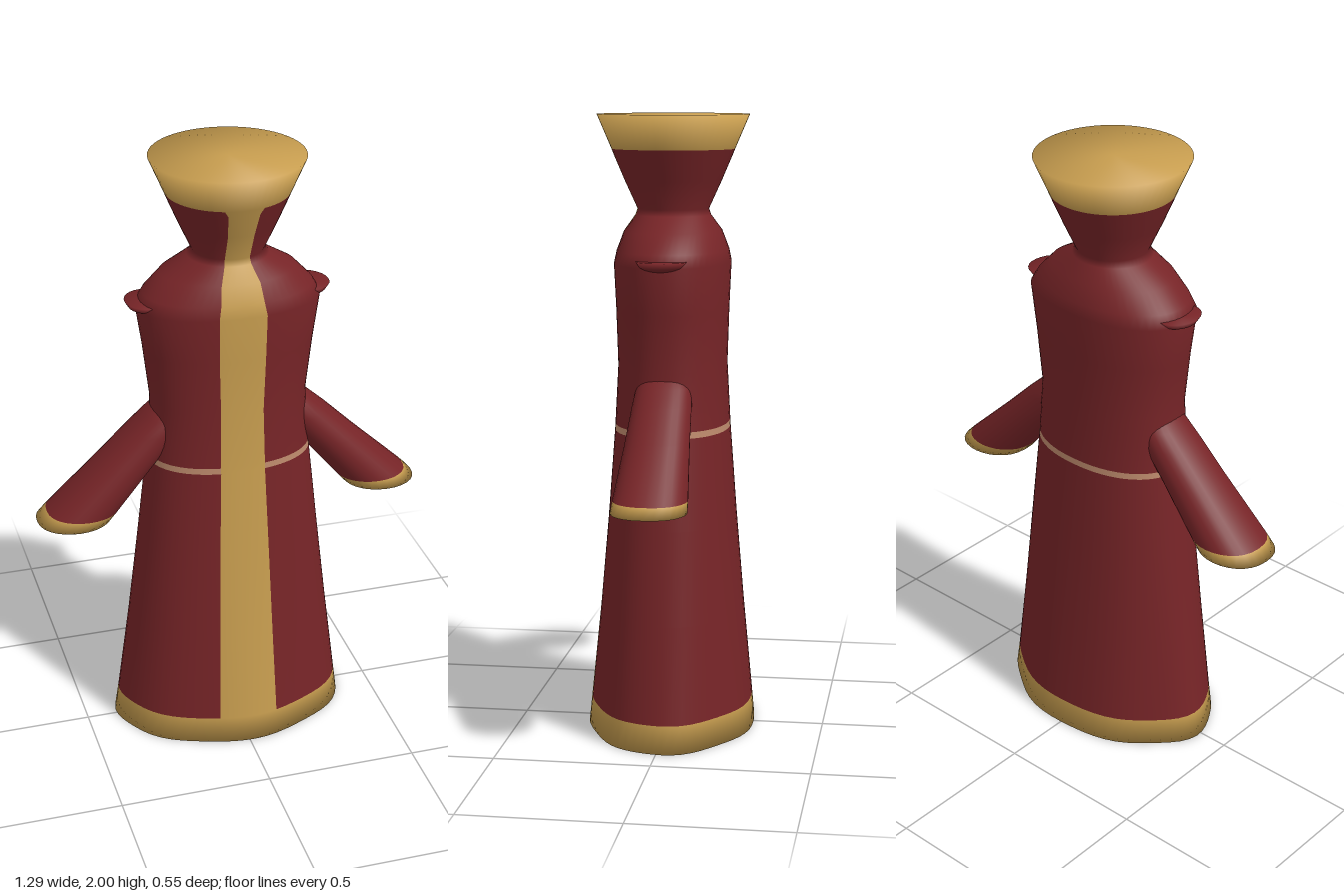
import * as THREE from 'three';

const red = new THREE.MeshStandardMaterial({ color: 0x762427 });
red.name = 'redCloth';
const gold = new THREE.MeshStandardMaterial({ color: 0xc79d4f });
gold.name = 'goldTrim';
const tan = new THREE.MeshStandardMaterial({ color: 0xbd8a6c });
tan.name = 'tanWaistLine';
const palette = [red, gold, tan];

// Closed smooth skin through rings listed from bottom to top.
// ring(i, j) gives a point; paint(i, j) gives a palette index (i = -1 bottom cap, rows - 1 top cap).
function loft(name, rows, cols, ring, paint) {
  const pos = [];
  const lists = palette.map(() => []);
  const centre = [new THREE.Vector3(), new THREE.Vector3()];
  for (let i = 0; i < rows; i++) {
    for (let j = 0; j < cols; j++) {
      const p = ring(i, j);
      pos.push(p.x, p.y, p.z);
      if (i === 0) centre[0].addScaledVector(p, 1 / cols);
      if (i === rows - 1) centre[1].addScaledVector(p, 1 / cols);
    }
  }
  centre.forEach((c) => pos.push(c.x, c.y, c.z));
  const last = (rows - 1) * cols;
  for (let j = 0; j < cols; j++) {
    const k = (j + 1) % cols;
    for (let i = 0; i < rows - 1; i++) {
      const a = i * cols + j, b = i * cols + k;
      lists[paint(i, j)].push(a, b, b + cols, a, b + cols, a + cols);
    }
    lists[paint(-1, j)].push(rows * cols, k, j);
    lists[paint(rows - 1, j)].push(rows * cols + 1, last + j, last + k);
  }
  const geo = new THREE.BufferGeometry();
  geo.setAttribute('position', new THREE.Float32BufferAttribute(pos, 3));
  geo.setIndex(lists.flat());
  let start = 0;
  lists.forEach((l, m) => {
    if (l.length) geo.addGroup(start, l.length, m);
    start += l.length;
  });
  geo.computeVertexNormals();
  const mesh = new THREE.Mesh(geo, palette);
  mesh.name = name;
  return mesh;
}

// Robe and flared collar: y, half width, half depth, half stripe width, roundness, hem ripple
const robeRows = [
  [0, 0.39, 0.27, 0.1, 2, 1],
  [0.09, 0.378, 0.262, 0.098, 2, 0.8],
  [0.4, 0.338, 0.232, 0.09, 2.1, 0.4],
  [0.7, 0.302, 0.206, 0.082, 2.2, 0.2],
  [0.992, 0.27, 0.185, 0.073, 2.2, 0],
  [1.012, 0.268, 0.184, 0.073, 2.2, 0],
  [1.2, 0.255, 0.174, 0.07, 2.2, 0],
  [1.38, 0.276, 0.179, 0.075, 2.2, 0],
  [1.53, 0.298, 0.185, 0.077, 2.2, 0],
  [1.57, 0.275, 0.178, 0.07, 2.1, 0],
  [1.63, 0.218, 0.157, 0.062, 2, 0],
  [1.68, 0.13, 0.122, 0.043, 2, 0],
  [1.7, 0.115, 0.115, 0.04, 2, 0],
  [1.79, 0.156, 0.156, 0.042, 2, 0],
  [1.87, 0.19, 0.19, 0.05, 2, 0],
  [1.89, 0.198, 0.198, 0.062, 2, 0],
  [2, 0.245, 0.245, 0.07, 2, 0],
];

function makeRobe() {
  const cols = 56, stripeCols = 6;
  const ring = (i, j) => {
    const [y, rx, rz, w, e, ripple] = robeRows[i];
    const edge = Math.asin((w / rx) ** (e / 2));
    // the first columns follow the stripe, the others run round the body
    const t = j <= stripeCols
      ? -edge + (2 * edge * j) / stripeCols
      : edge + ((2 * Math.PI - 2 * edge) * (j - stripeCols)) / (cols - stripeCols);
    const s = Math.sin(t), c = Math.cos(t);
    const wave = 1 + ripple * 0.014 * (Math.sin(7 * t + 1) + Math.cos(4 * t));
    return new THREE.Vector3(
      Math.sign(s) * Math.abs(s) ** (2 / e) * rx * wave, y,
      Math.sign(c) * Math.abs(c) ** (2 / e) * rz * wave);
  };
  const paint = (i, j) => {
    if (i <= 0 || i >= robeRows.length - 2 || j < stripeCols) return 1;
    return i === 4 ? 2 : 0;
  };
  return loft('robe', robeRows.length, cols, ring, paint);
}

// Sleeve: y, centre x, half width, half depth
const sleeveRows = [
  [0.81, 0.522, 0.121, 0.118],
  [0.843, 0.491, 0.119, 0.116],
  [1.0, 0.342, 0.1, 0.101],
  [1.1, 0.247, 0.092, 0.094],
  [1.15, 0.207, 0.076, 0.087],
  [1.18, 0.195, 0.055, 0.072],
  [1.197, 0.19, 0.032, 0.04],
];

function makeSleeve(side) {
  const cols = 28;
  return loft(side > 0 ? 'leftSleeve' : 'rightSleeve', sleeveRows.length, cols, (i, j) => {
    const [y, cx, rx, rz] = sleeveRows[i];
    const t = (j / cols) * Math.PI * 2;
    const c = Math.cos(t);
    return new THREE.Vector3(
      side * cx + Math.sin(t) * rx, y, Math.sign(c) * Math.abs(c) ** 0.85 * rz);
  }, (i) => (i <= 0 ? 1 : 0));
}

// Small flat-topped shoulder ledge
function makeShoulder(side) {
  const rows = 6, cols = 24;
  return loft(side > 0 ? 'leftShoulderLedge' : 'rightShoulderLedge', rows, cols, (i, j) => {
    const u = 0.15 + 0.85 * (i / (rows - 1));
    const t = (j / cols) * Math.PI * 2;
    return new THREE.Vector3(
      side * 0.265 + Math.sin(t) * 0.068 * u,
      1.55 - 0.035 * Math.sqrt(1 - u * u),
      Math.cos(t) * 0.08 * u);
  }, () => 0);
}

export function createModel() {
  const model = new THREE.Group();
  model.name = 'ceremonialRobe';
  model.add(makeRobe());
  for (const side of [1, -1]) model.add(makeSleeve(side), makeShoulder(side));
  return model;
}
